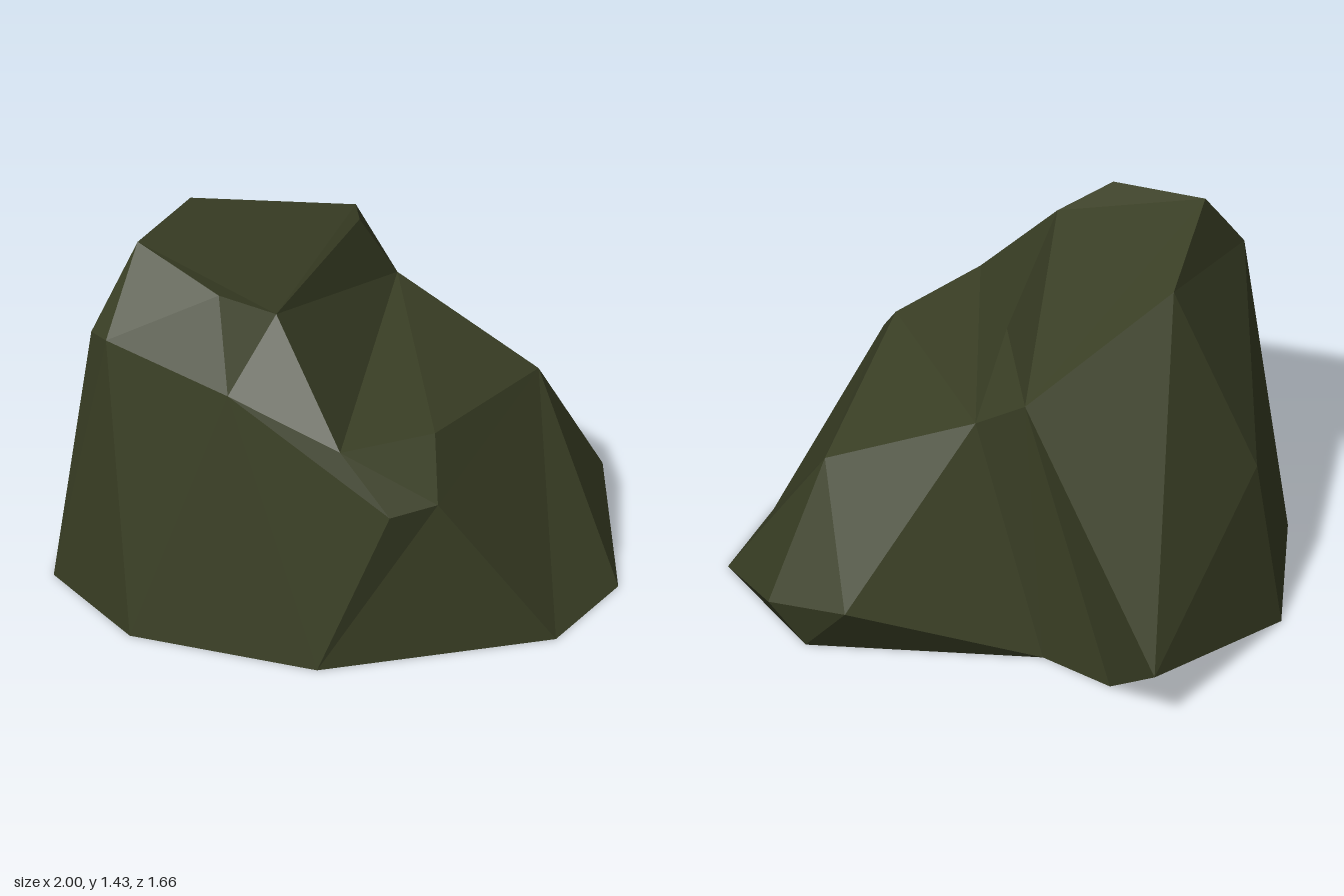
import * as THREE from 'three';

// Corner points of the boulder, grouped by level
const P = {
  // ground rim (open underneath)
  g1: [-1, 0, -0.02], g2: [-0.86, 0, 0.59], g3: [-0.45, 0, 0.83], g4: [0.25, 0, 0.75], g5: [0.94, 0, 0.21],
  g6: [1, 0, -0.19], g7: [0.6, 0, -0.61], g8: [-0.24, 0, -0.47], g9: [-0.52, 0, -0.59],
  // low bulges at the back
  b1: [0.73, 0.18, -0.64], b2: [0.42, 0.24, -0.74], b3: [-0.75, 0.23, -0.83],
  // middle shoulders
  m1: [-0.9, 0.62, 0.02], m2: [0.49, 0.66, 0.65], m3: [0.61, 0.66, 0.5], m4: [0.58, 0.68, -0.42],
  m5: [0.52, 0.84, 0.33], m6: [0.29, 0.88, 0.64], m7: [0.02, 0.93, -0.43],
  // upper ledge
  u1: [-0.68, 1.14, 0.66], u2: [-0.59, 1.17, 0.73], u3: [-0.12, 1.05, 0.71], u4: [-0.19, 1.1, -0.53],
  // crown
  c1: [-0.59, 1.43, 0.46], c2: [-0.22, 1.37, 0.57], c3: [-0.04, 1.28, 0.47],
  c4: [-0.05, 1.24, -0.26], c5: [-0.6, 1.33, -0.01],
};

// Each facet group is a fan: hub first, then the points around it
const FANS = [
  'u3 u2 g3 g4 m2 m6 c3 c2 u2', // front wall
  'c1 u1 u2 c2 c3 u4 c5 u1',    // crown
  'm1 c5 u1 g2 g1 b3 c5',       // right-hand flank
  'u4 c5 b3 g9 g8 m7 c4 c3',    // back ridge
  'm7 g8 b2 m4 m5 m6 c3 c4',    // left shoulder
  'm4 b2 b1 g6 g5 m3 m5',       // left flank
  'g2 u1 u2 g3',                // front corner
  'g4 m2 m3 g5',                // front left corner
  'm3 m2 m6 m5',                // small ledge
  'g7 g6 b1 b2 g8',             // back undercut
  'b3 g1 g9',                   // back corner undercut
];

function fanGeometry(fans) {
  const core = new THREE.Vector3(-0.1, 0.5, 0.05);
  const points = [];
  for (const fan of fans) {
    const [hub, ...ring] = fan.split(' ').map((k) => new THREE.Vector3(...P[k]));
    for (let i = 0; i < ring.length - 1; i++) {
      const tri = new THREE.Triangle(hub, ring[i], ring[i + 1]);
      // turn every facet outwards
      const outward = tri.getNormal(new THREE.Vector3()).dot(hub.clone().sub(core)) > 0;
      points.push(hub, ...(outward ? [ring[i], ring[i + 1]] : [ring[i + 1], ring[i]]));
    }
  }
  const geometry = new THREE.BufferGeometry().setFromPoints(points);
  geometry.computeVertexNormals(); // unshared corners give flat facets
  return geometry;
}

export function createModel() {
  const stone = new THREE.MeshStandardMaterial({ color: 0x3b4026, side: THREE.DoubleSide, flatShading: true });
  stone.name = 'mossy stone';
  const boulder = new THREE.Mesh(fanGeometry(FANS), stone);
  boulder.name = 'boulder';
  const group = new THREE.Group();
  group.name = 'rock';
  group.add(boulder);
  return group;
}
